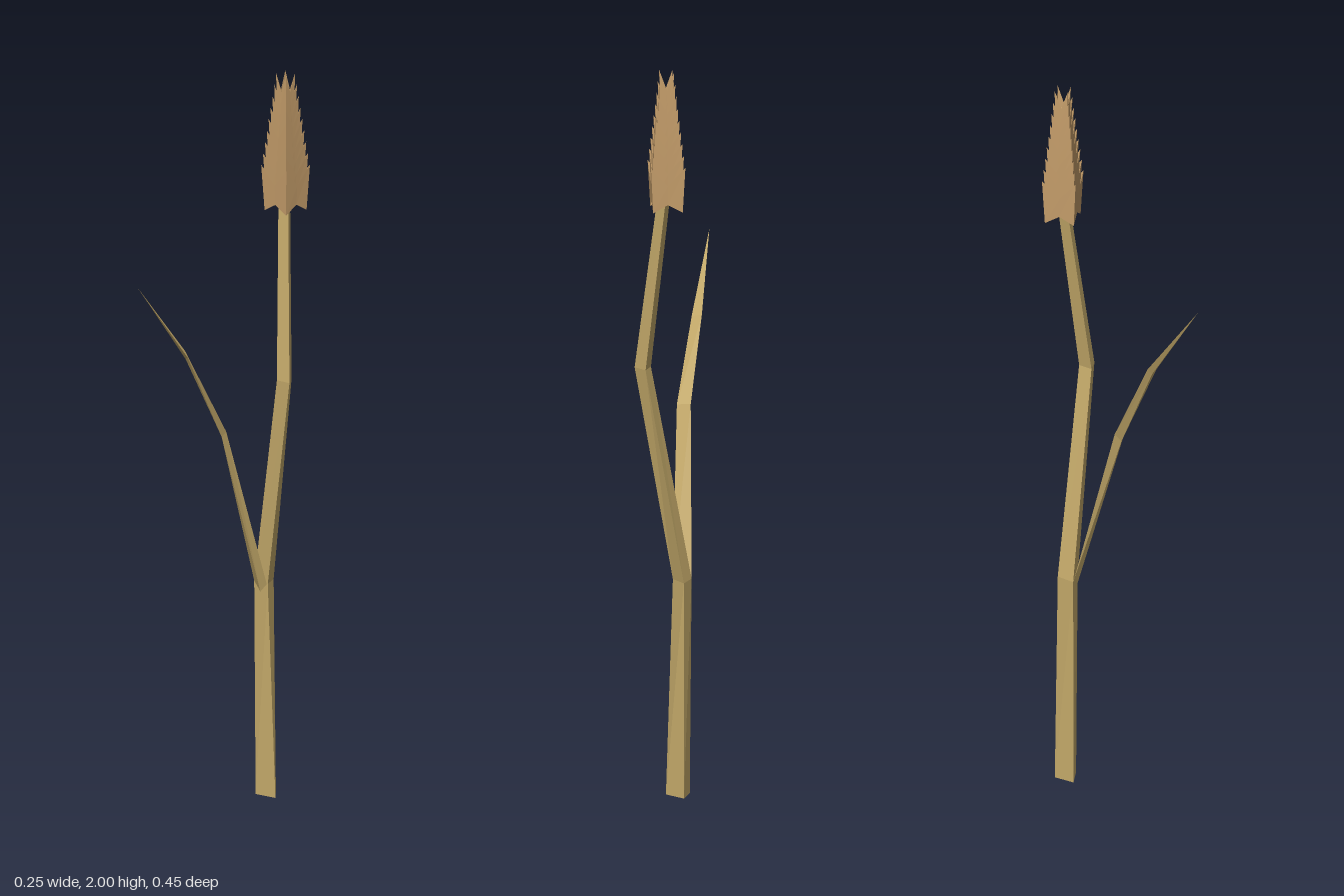
import * as THREE from 'three';

const stemMaterial = new THREE.MeshStandardMaterial({ color: 0xc8ad6c, flatShading: true, side: THREE.DoubleSide });
const headMaterial = new THREE.MeshStandardMaterial({ color: 0xc8a06c, flatShading: true, side: THREE.DoubleSide });

// Skin a list of equal-length rings (counterclockwise from above), optionally capped.
function loft(name, rings, material, capped = true) {
  const n = rings[0].length;
  const index = [];
  for (let r = 0; r < rings.length - 1; r++) {
    for (let i = 0; i < n; i++) {
      const a = r * n + i, b = r * n + (i + 1) % n;
      index.push(a, b, b + n, a, b + n, a + n);
    }
  }
  if (capped) {
    const top = (rings.length - 1) * n;
    for (let i = 1; i < n - 1; i++) index.push(0, i + 1, i, top, top + i, top + i + 1);
  }
  const geometry = new THREE.BufferGeometry();
  geometry.setAttribute('position', new THREE.Float32BufferAttribute(rings.flat(2), 3));
  geometry.setIndex(index);
  const flat = geometry.toNonIndexed();
  flat.computeVertexNormals();
  const mesh = new THREE.Mesh(flat, material);
  mesh.name = name;
  return mesh;
}

// Square ring of eight points: corners at height yCorner, edge middles at yMid.
function squareRing(half, yCorner, yMid, midHalf = half) {
  const ring = [];
  for (let i = 0; i < 8; i++) {
    const corner = i % 2 === 0;
    const angle = Math.PI / 4 + i * Math.PI / 4;
    const radius = corner ? half * Math.SQRT2 : midHalf;
    ring.push([radius * Math.cos(angle), corner ? yCorner : yMid, -radius * Math.sin(angle)]);
  }
  return ring;
}

export function createModel() {
  const model = new THREE.Group();
  model.name = 'grainStalk';

  // Three-sided stem with two bends
  model.add(loft('stem', [
    [[-0.02, 0, -0.135], [0.045, 0, -0.14], [0.004, 0, -0.19]],
    [[-0.025, 0.59, -0.135], [0.025, 0.59, -0.132], [0.003, 0.59, -0.182]],
    [[0.08, 1.17, -0.105], [0.124, 1.17, -0.105], [0.1, 1.17, -0.142]],
    [[0.036, 1.66, -0.163], [0.07, 1.66, -0.163], [0.052, 1.66, -0.192]],
  ], stemMaterial));

  // Keeled leaf arching forward to a point
  const tip = [-0.127, 1.457, 0.222];
  model.add(loft('leaf', [
    [[-0.025, 0.59, -0.135], [0, 0.565, -0.131], [0.025, 0.59, -0.128]],
    [[-0.04, 1.04, -0.02], [-0.027, 1.015, -0.004], [-0.006, 1.035, 0.002]],
    [[-0.085, 1.26, 0.078], [-0.075, 1.242, 0.088], [-0.06, 1.25, 0.097]],
    [tip, tip, tip],
  ], stemMaterial, false));

  // Seed head: overlapping square husks with upswept corner points
  const head = new THREE.Group();
  head.name = 'seedHead';
  head.position.set(0.049, 0, -0.177);
  head.rotation.y = -0.05;
  const husks = 9;
  for (let i = 0; i < husks; i++) {
    const t = i / (husks - 1);
    const half = THREE.MathUtils.lerp(0.046, 0.018, t);
    const yTip = THREE.MathUtils.lerp(1.745, 2, t);
    const yBase = yTip - 0.125;
    head.add(loft('husk', [
      squareRing(half * 0.86, yBase, yBase + 0.022),
      squareRing(half, yTip, yTip - 0.05, half * 0.93),
    ], headMaterial, false));
  }

  // Tapered core closing the husks
  head.add(loft('headCore', [
    squareRing(0.038, 1.643, 1.643),
    squareRing(0.013, 1.94, 1.94),
  ], headMaterial));
  model.add(head);

  return model;
}
